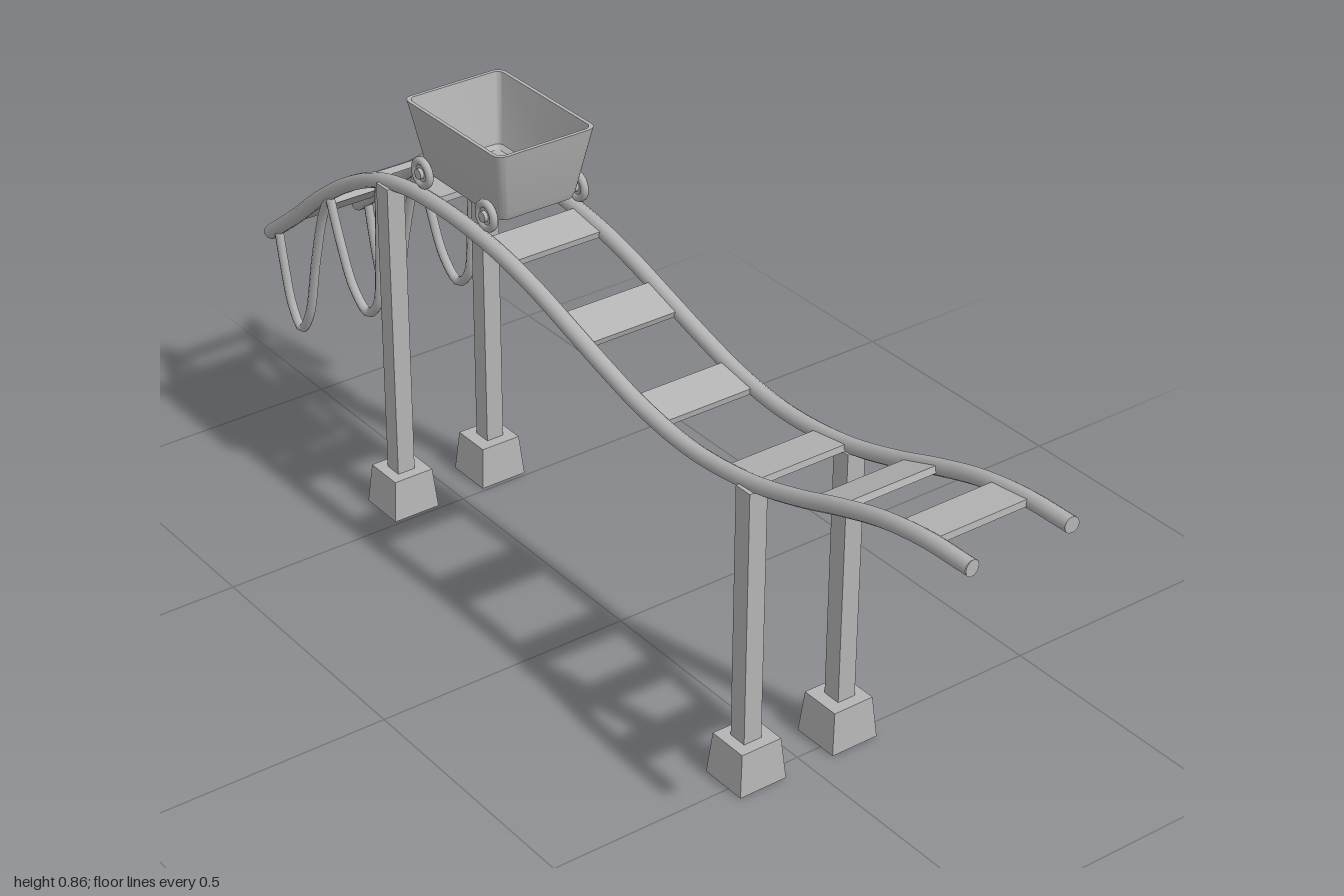
import * as THREE from 'three';
import { toCreasedNormals } from 'three/addons/utils/BufferGeometryUtils.js';

const RAIL_Z = 0.098;
const steel = new THREE.MeshStandardMaterial({ color: 0xb4b4b4 });
steel.name = 'grey steel';

function add(parent, name, geometry, x = 0, y = 0, z = 0) {
  const mesh = new THREE.Mesh(geometry, steel);
  mesh.name = name;
  mesh.position.set(x, y, z);
  parent.add(mesh);
  return mesh;
}

const curveFrom = (points) =>
  new THREE.CatmullRomCurve3(points.map(([x, y]) => new THREE.Vector3(x, y, 0)));

// Tube with flat end caps
function cappedTube(parent, name, curve, radius, segments, sides, z) {
  const group = new THREE.Group();
  group.name = name;
  group.position.z = z;
  add(group, name + 'Body', new THREE.TubeGeometry(curve, segments, radius, sides));
  for (const t of [0, 1]) {
    const cap = add(group, name + 'Cap', new THREE.CircleGeometry(radius, sides));
    const p = curve.getPointAt(t);
    cap.position.copy(p);
    cap.lookAt(p.clone().addScaledVector(curve.getTangentAt(t), t ? 1 : -1));
  }
  parent.add(group);
}

// Hollow tub lofted through rounded rectangles: [halfX, halfZ, cornerRadius, y]
function tubGeometry(sections, steps = 5) {
  const positions = [], index = [], n = 4 * (steps + 1);
  for (const [hx, hz, r, y] of sections) {
    for (let corner = 0; corner < 4; corner++) {
      const sx = corner === 0 || corner === 3 ? 1 : -1, sz = corner < 2 ? 1 : -1;
      for (let k = 0; k <= steps; k++) {
        const a = (corner + k / steps) * Math.PI / 2;
        positions.push(sx * (hx - r) + r * Math.cos(a), y, sz * (hz - r) + r * Math.sin(a));
      }
    }
  }
  for (let i = 0; i < sections.length - 1; i++) {
    for (let j = 0; j < n; j++) {
      const a = i * n + j, b = i * n + (j + 1) % n;
      index.push(a, a + n, b + n, a, b + n, b);
    }
  }
  const g = new THREE.BufferGeometry();
  g.setAttribute('position', new THREE.Float32BufferAttribute(positions, 3));
  g.setIndex(index);
  return toCreasedNormals(g, 0.6);
}

export function createModel() {
  const model = new THREE.Group();
  model.name = 'mineCartTrack';

  // Rails
  const track = curveFrom([
    [-0.99, 0.388], [-0.9, 0.457], [-0.8, 0.54], [-0.7, 0.61], [-0.6, 0.66], [-0.5, 0.685],
    [-0.4, 0.692], [-0.3, 0.689], [-0.2, 0.677], [-0.1, 0.655], [0, 0.625], [0.1, 0.595],
    [0.2, 0.57], [0.33, 0.557], [0.48, 0.572], [0.6, 0.604], [0.7, 0.639], [0.8, 0.669],
    [0.9, 0.685], [1, 0.688],
  ]);
  for (const s of [1, -1]) cappedTube(model, s > 0 ? 'frontRail' : 'backRail', track, 0.0145, 90, 10, s * RAIL_Z);

  // Sleepers, tilted to follow the rails
  const samples = track.getSpacedPoints(400);
  for (const x of [-0.895, -0.688, -0.455, -0.217, 0, 0.207, 0.452, 0.672, 0.875]) {
    const i = samples.findIndex((p) => p.x >= x);
    const slope = Math.atan2(samples[i + 3].y - samples[i - 3].y, samples[i + 3].x - samples[i - 3].x);
    const tie = add(model, 'sleeper', new THREE.BoxGeometry(0.08, 0.012, 0.172), x, samples[i].y, 0);
    tie.rotation.z = slope;
  }

  // Posts on tapered footings
  const footing = new THREE.BoxGeometry(0.093, 0.08, 0.096);
  const fp = footing.attributes.position;
  for (let i = 0; i < fp.count; i++) {
    if (fp.getY(i) > 0) fp.setXYZ(i, fp.getX(i) * 0.85, fp.getY(i), fp.getZ(i) * 0.85);
  }
  footing.computeVertexNormals();
  for (const [x, top] of [[-0.554, 0.672], [0.486, 0.568]]) {
    for (const s of [1, -1]) {
      add(model, 'footing', footing, x, 0.04, s * RAIL_Z);
      add(model, 'post', new THREE.BoxGeometry(0.036, top - 0.07, 0.036), x, (top + 0.07) / 2, s * 0.1);
    }
  }

  // Hanging cables below the left end
  const cables = [
    [[-0.958, 0.41], [-0.945, 0.345], [-0.922, 0.26], [-0.892, 0.223], [-0.86, 0.265], [-0.825, 0.4], [-0.795, 0.5], [-0.765, 0.56]],
    [[-0.765, 0.56], [-0.735, 0.48], [-0.695, 0.4], [-0.65, 0.368], [-0.613, 0.4], [-0.6, 0.48], [-0.594, 0.57], [-0.59, 0.66]],
  ];
  for (const points of cables) {
    for (const s of [1, -1]) cappedTube(model, 'hangingCable', curveFrom(points), 0.009, 40, 8, s * 0.1);
  }

  // Cart: open tub and four wheels
  const cart = new THREE.Group();
  cart.name = 'cart';
  cart.position.x = -0.352;
  model.add(cart);
  add(cart, 'tub', tubGeometry([
    [0.001, 0.001, 0.0005, 0.72], [0.108, 0.068, 0.01, 0.72], [0.115, 0.077, 0.014, 0.724],
    [0.12, 0.082, 0.016, 0.737], [0.146, 0.103, 0.018, 0.863], [0.139, 0.096, 0.014, 0.863],
    [0.113, 0.076, 0.012, 0.737], [0.105, 0.068, 0.01, 0.73], [0.001, 0.001, 0.0005, 0.73],
  ]));
  for (const x of [-0.103, 0.095]) {
    for (const s of [1, -1]) {
      const wheel = new THREE.Group();
      wheel.name = 'wheel';
      wheel.position.set(x, 0.733, s * 0.095);
      add(wheel, 'rim', new THREE.TorusGeometry(0.0225, 0.0075, 10, 28));
      add(wheel, 'disc', new THREE.CylinderGeometry(0.022, 0.022, 0.006, 24)).rotation.x = Math.PI / 2;
      add(wheel, 'hub', new THREE.CylinderGeometry(0.01, 0.01, 0.02, 16)).rotation.x = Math.PI / 2;
      cart.add(wheel);
    }
  }
  return model;
}
